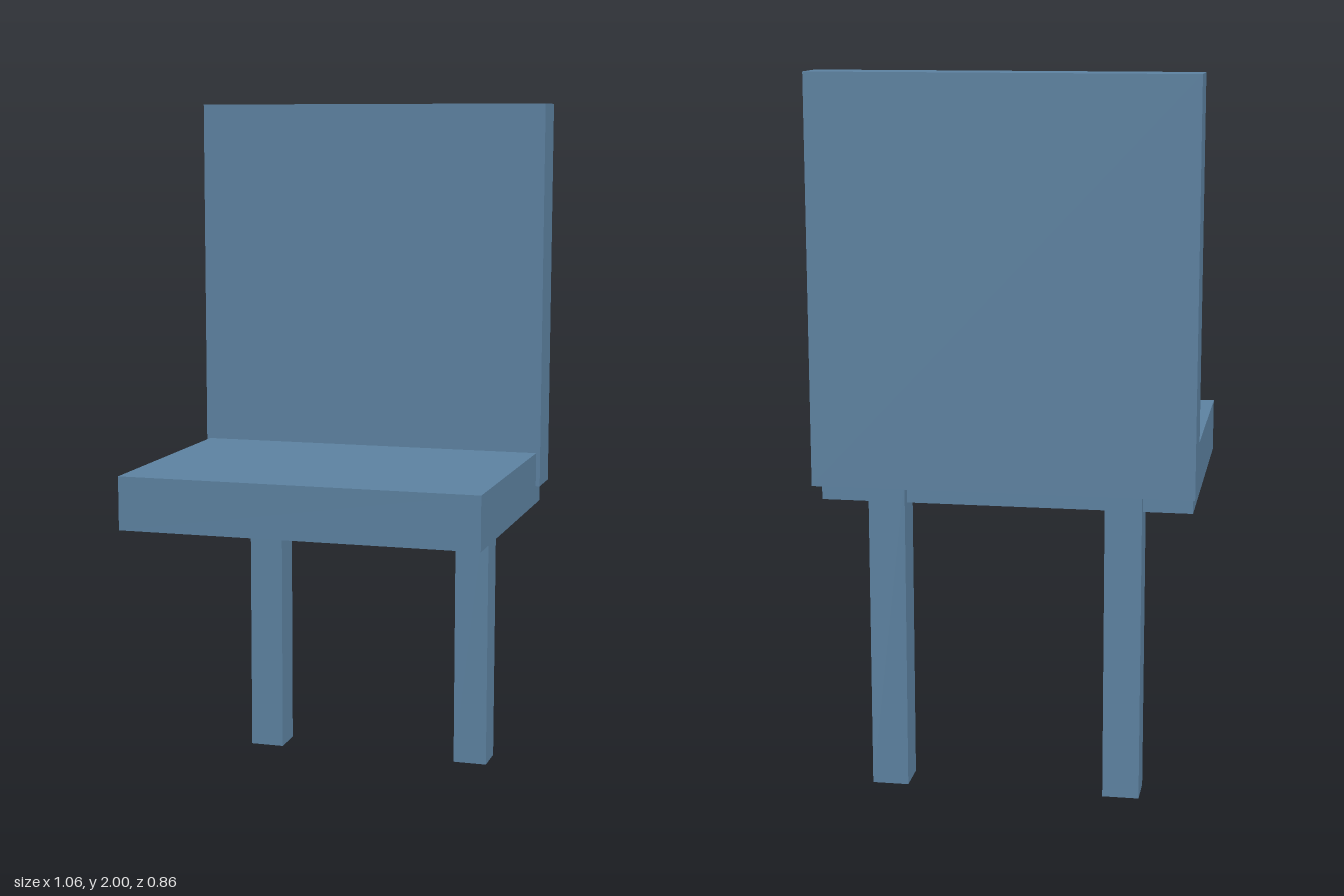
import * as THREE from 'three';

export function createModel() {
  const chair = new THREE.Group();
  chair.name = 'chair';
  const blue = new THREE.MeshStandardMaterial({ color: 0x5c81a0 });
  blue.name = 'slate blue';

  // Box given by its lower and upper corners
  function addBox(name, min, max) {
    const size = max.map((v, i) => v - min[i]);
    const mesh = new THREE.Mesh(new THREE.BoxGeometry(...size), blue);
    mesh.position.set(...max.map((v, i) => (v + min[i]) / 2));
    mesh.name = name;
    chair.add(mesh);
  }

  // Seat slab and the slightly wider upright back
  addBox('seat', [-0.518, 0.82, -0.365], [0.516, 0.973, 0.431]);
  addBox('backrest', [-0.528, 0.873, -0.431], [0.528, 2, -0.303]);

  // Two rear legs, running up into the backrest
  for (const [name, x] of [['leftLeg', 0.326], ['rightLeg', -0.331]]) {
    addBox(name, [x - 0.051, 0, -0.393], [x + 0.051, 0.9, -0.29]);
  }
  return chair;
}
